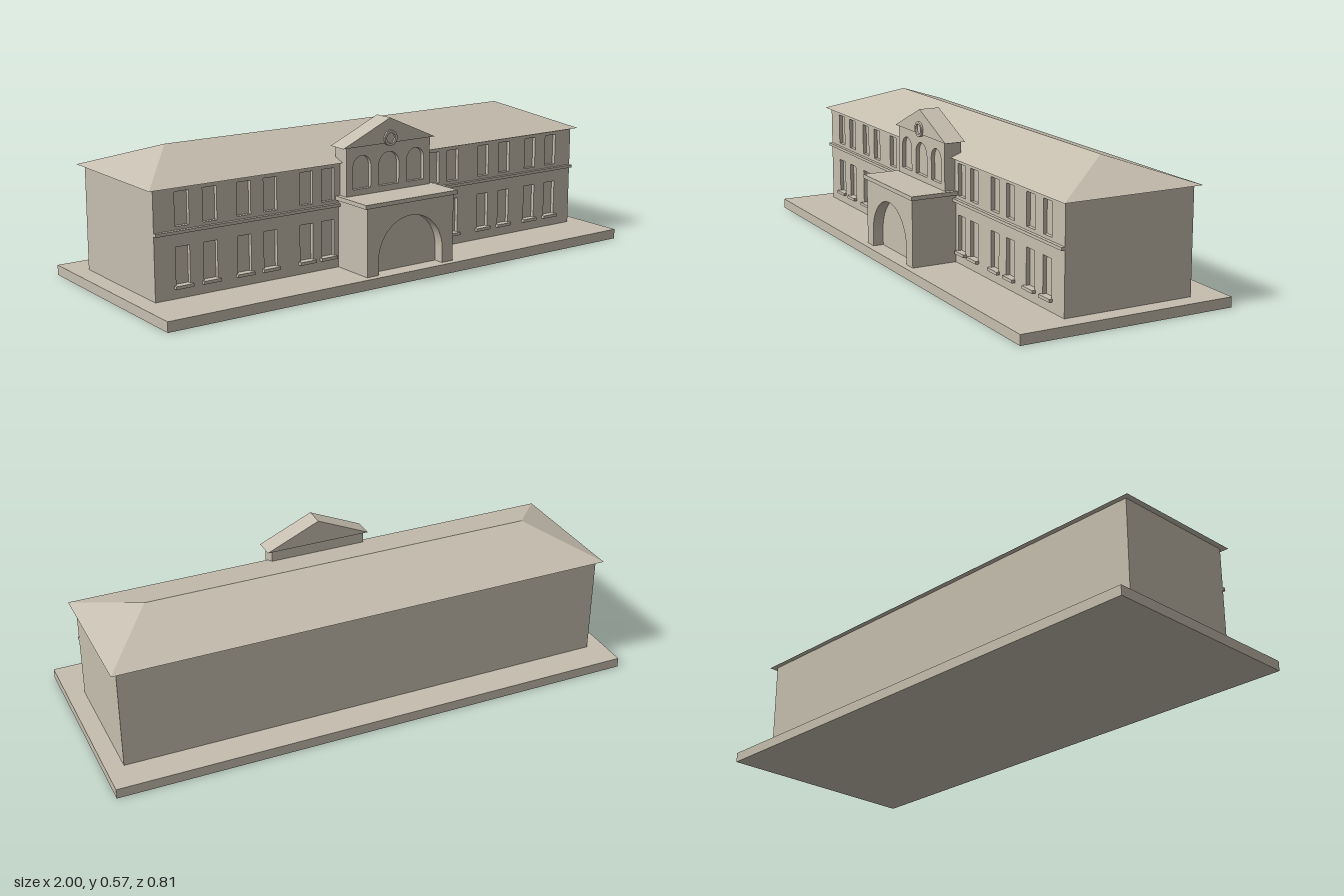
import * as THREE from 'three';

export function createModel() {
  const model = new THREE.Group();
  const stone = new THREE.MeshStandardMaterial({ color: 0xc6beaf });
  stone.name = 'stone';

  const add = (name, geometry) => {
    const mesh = new THREE.Mesh(geometry, stone);
    mesh.name = name;
    model.add(mesh);
    return mesh;
  };
  // Box given by its limits on each axis
  const block = (name, x0, x1, y0, y1, z0, z1) =>
    add(name, new THREE.BoxGeometry(x1 - x0, y1 - y0, z1 - z0))
      .position.set((x0 + x1) / 2, (y0 + y1) / 2, (z0 + z1) / 2);
  // Flat shape extruded between two depths
  const slab = (name, shape, z0, z1) =>
    add(name, new THREE.ExtrudeGeometry(shape, { depth: z1 - z0, bevelEnabled: false, curveSegments: 20 }))
      .position.z = z0;
  const outline = (points) => new THREE.Shape(points.map(([x, y]) => new THREE.Vector2(x, y)));
  const rect = (x0, x1, y0, y1) => [[x0, y0], [x1, y0], [x1, y1], [x0, y1]];
  // Round-headed opening
  const archHole = (x, r, bottom, top) => {
    const p = new THREE.Path();
    p.moveTo(x - r, bottom);
    p.lineTo(x + r, bottom);
    p.lineTo(x + r, top - r);
    p.absarc(x, top - r, r, 0, Math.PI, false);
    p.closePath();
    return p;
  };

  // Plinth and main block
  block('plinth', -1, 1, 0, 0.037, -0.405, 0.405);
  block('mainBlock', -0.935, 0.935, 0.037, 0.42, -0.285, 0.193);

  // Front wall with two storeys of recessed windows and sills
  const wall = outline(rect(-0.935, 0.935, 0.037, 0.42));
  for (const side of [-1, 1]) {
    for (const c of [0.239, 0.331, 0.481, 0.587, 0.721, 0.828]) {
      const x = side * c;
      for (const [bottom, top] of [[0.083, 0.215], [0.285, 0.403]]) {
        wall.holes.push(outline(rect(x - 0.027, x + 0.027, bottom, top)));
      }
      block('windowSill', x - 0.034, x + 0.034, 0.072, 0.083, 0.2, 0.22);
    }
  }
  slab('frontWall', wall, 0.193, 0.207);
  block('beltCourse', -0.935, 0.935, 0.262, 0.273, 0.2, 0.22);

  // Hipped roof: eave corners and two ridge ends
  const a = [-0.957, 0.42, 0.225], b = [0.957, 0.42, 0.225];
  const c = [0.957, 0.42, -0.305], d = [-0.957, 0.42, -0.305];
  const l = [-0.75, 0.512, -0.04], r = [0.75, 0.512, -0.04];
  const roof = new THREE.BufferGeometry();
  const faces = [a, b, r, a, r, l, c, d, l, c, l, r, b, c, r, d, a, l, a, d, c, a, c, b];
  roof.setAttribute('position', new THREE.Float32BufferAttribute(faces.flat(), 3));
  roof.computeVertexNormals();
  add('hippedRoof', roof);

  // Entrance porch with a large blind arch open at the ground
  block('porchBody', -0.193, 0.193, 0.037, 0.285, 0.2, 0.34);
  const porch = new THREE.Shape();
  porch.moveTo(-0.193, 0.037);
  porch.lineTo(-0.143, 0.037);
  porch.lineTo(-0.143, 0.092);
  porch.absarc(0, 0.092, 0.143, Math.PI, 0, true);
  porch.lineTo(0.143, 0.037);
  porch.lineTo(0.193, 0.037);
  porch.lineTo(0.193, 0.285);
  porch.lineTo(-0.193, 0.285);
  porch.closePath();
  slab('porchFront', porch, 0.34, 0.38);
  block('porchCornice', -0.205, 0.205, 0.285, 0.3, 0.2, 0.388);

  // Upper bay with three arched windows
  block('bayBody', -0.187, 0.187, 0.3, 0.476, 0.182, 0.234);
  const bay = outline(rect(-0.187, 0.187, 0.3, 0.476));
  bay.holes.push(archHole(-0.12, 0.039, 0.322, 0.443));
  bay.holes.push(archHole(0, 0.045, 0.322, 0.443));
  bay.holes.push(archHole(0.12, 0.039, 0.322, 0.443));
  slab('bayFront', bay, 0.234, 0.248);

  // Gable and its round ornament
  slab('gable', outline([[-0.205, 0.476], [0.205, 0.476], [0, 0.567]]), 0.176, 0.254);
  const ring = new THREE.Shape().absarc(0, 0.494, 0.028, 0, Math.PI * 2, false);
  ring.holes.push(new THREE.Path().absarc(0, 0.494, 0.019, 0, Math.PI * 2, true));
  slab('roundOrnament', ring, 0.246, 0.261);

  return model;
}
